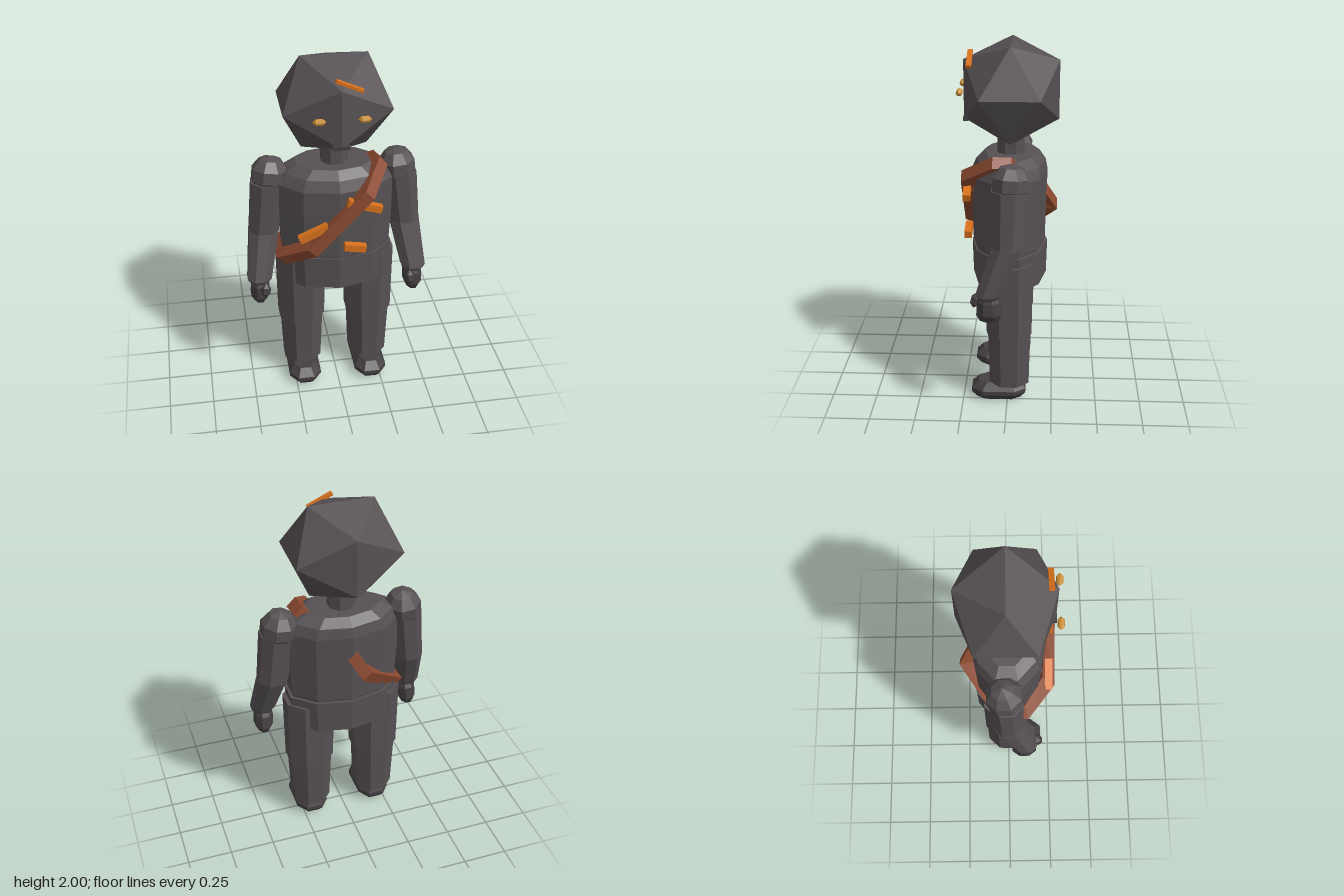
import * as THREE from 'three';

const mat = (color) => new THREE.MeshStandardMaterial({ color, flatShading: true });
const stone = mat(0x565053), dark = mat(0x443f42), leather = mat(0x8c4a30);
const ember = mat(0xd8701c), amber = mat(0xcc9036);

function add(parent, name, geometry, material, pos = [0, 0, 0], rot = [0, 0, 0], scale = [1, 1, 1]) {
  const mesh = new THREE.Mesh(geometry, material);
  mesh.name = name;
  mesh.position.set(...pos);
  mesh.rotation.set(...rot);
  mesh.scale.set(...scale);
  parent.add(mesh);
  return mesh;
}

// Horizontal octagon: half-width a, half-depth b; k and m set the flat of the front and the sides
function ring(x, y, z, a, b, k = 0.414, m = 0.414) {
  return [[1, m], [k, 1], [-k, 1], [-1, m], [-1, -m], [-k, -1], [k, -1], [1, -m]]
    .map(([u, v]) => new THREE.Vector3(x + u * a, y, z + v * b));
}

// Ten-sided oval with a corner at the middle of the front and back
function oval(y, z, a, b) {
  return Array.from({ length: 10 }, (_, i) => {
    const t = (i * Math.PI) / 5;
    return new THREE.Vector3(a * Math.sin(t), y, z + b * Math.cos(t));
  });
}

// Skin a row of cross-sections, capped at the ends or joined into a loop
function loft(rings, loop = false) {
  const tris = [], n = rings[0].length, last = rings.length - (loop ? 0 : 1);
  for (let i = 0; i < last; i++) {
    const p = rings[i], q = rings[(i + 1) % rings.length];
    for (let j = 0; j < n; j++) {
      const k = (j + 1) % n;
      tris.push([p[j], q[j], q[k]], [p[j], q[k], p[k]]);
    }
  }
  if (!loop) {
    const p = rings[0], q = rings[rings.length - 1];
    for (let j = 1; j < n - 1; j++) tris.push([p[0], p[j], p[j + 1]], [q[0], q[j + 1], q[j]]);
  }
  // Turn the faces outward if the enclosed volume comes out negative
  const volume = tris.reduce((s, [a, b, c]) => s + a.dot(b.clone().cross(c)), 0);
  const points = tris.flatMap(([a, b, c]) => (volume < 0 ? [a, c, b] : [a, b, c]));
  const geometry = new THREE.BufferGeometry().setFromPoints(points);
  geometry.computeVertexNormals();
  return geometry;
}

function buildArm(s) {
  const arm = new THREE.Group();
  arm.name = s > 0 ? 'leftArm' : 'rightArm';
  add(arm, 'shoulder', new THREE.SphereGeometry(0.106, 8, 5), stone,
    [s * 0.352, 1.328, -0.022], [-0.1, Math.PI / 8, s * 0.12]);
  add(arm, 'upperArm', loft([
    ring(s * 0.397, 0.99, -0.004, 0.081, 0.078),
    ring(s * 0.362, 1.3, -0.014, 0.092, 0.09),
  ]), stone);
  add(arm, 'forearm', loft([
    ring(s * 0.439, 0.72, 0.096, 0.052, 0.05),
    ring(s * 0.438, 0.742, 0.092, 0.067, 0.065),
    ring(s * 0.397, 1.0, -0.004, 0.082, 0.079),
  ]), stone);
  add(arm, 'hand', loft([
    ring(s * 0.44, 0.592, 0.085, 0.032, 0.05),
    ring(s * 0.44, 0.63, 0.087, 0.05, 0.068),
    ring(s * 0.436, 0.70, 0.092, 0.05, 0.06),
    ring(s * 0.434, 0.74, 0.094, 0.04, 0.04),
  ]), dark);
  add(arm, 'thumb', new THREE.CapsuleGeometry(0.027, 0.035, 1, 6), dark,
    [s * 0.411, 0.693, 0.163], [-0.25, 0, s * 0.1]);
  return arm;
}

function buildLeg(s) {
  const leg = new THREE.Group();
  leg.name = s > 0 ? 'leftLeg' : 'rightLeg';
  const x = s * 0.196;
  add(leg, 'thigh', loft([
    ring(x, 0.415, -0.01, 0.13, 0.124),
    ring(x, 0.835, -0.01, 0.135, 0.13),
  ]), stone);
  add(leg, 'shin', loft([
    ring(x, 0.1, -0.01, 0.106, 0.11),
    ring(x, 0.42, -0.01, 0.119, 0.117),
  ]), stone);
  add(leg, 'foot', loft([
    ring(x, 0, 0.05, 0.064, 0.122, 0.5, 0.6),
    ring(x, 0.038, 0.05, 0.092, 0.152, 0.5, 0.6),
    ring(x, 0.062, 0.05, 0.092, 0.152, 0.5, 0.6),
    ring(x, 0.105, 0.04, 0.06, 0.122, 0.5, 0.6),
  ]), dark);
  return leg;
}

// Thick band looping from the left shoulder to the right hip
function buildStrap() {
  const path = [
    [0.225, 1.38, 0.07], [0.13, 1.28, 0.222], [-0.14, 0.99, 0.222], [-0.285, 0.875, 0.1],
    [-0.3, 0.86, -0.05], [-0.06, 1.08, -0.225], [-0.015, 1.17, -0.17], [0.21, 1.375, -0.02],
  ];
  const across = new THREE.Vector3(-0.69, 0.72, 0).multiplyScalar(0.034);
  const centre = new THREE.Vector3(-0.04, 1.12, 0);
  return loft(path.map((p) => {
    const c = new THREE.Vector3(...p);
    const out = c.clone().sub(centre);
    out.addScaledVector(across, -out.dot(across) / across.lengthSq()).setLength(0.042);
    return [[1, 1], [-1, 1], [-1, -1], [1, -1]]
      .map(([u, v]) => c.clone().addScaledVector(across, u).addScaledVector(out, v));
  }), true);
}

export function createModel() {
  const model = new THREE.Group();
  model.name = 'stoneFigure';

  add(model, 'head', new THREE.IcosahedronGeometry(1, 0), stone, [0, 1.742, -0.013], [0, 0, 0], [0.338, 0.303, 0.302]);
  add(model, 'chin', new THREE.BoxGeometry(0.09, 0.02, 0.03), dark, [0, 1.587, 0.23]);
  add(model, 'neck', new THREE.CylinderGeometry(0.078, 0.078, 0.16, 8), stone, [0, 1.415, -0.01], [0, Math.PI / 8, 0]);

  add(model, 'torso', loft([
    oval(0.83, 0, 0.3, 0.19),
    oval(0.9, 0, 0.315, 0.2),
    oval(1.12, 0, 0.326, 0.206),
    oval(1.3, -0.003, 0.326, 0.208),
    oval(1.36, -0.01, 0.29, 0.19),
    oval(1.4, -0.01, 0.22, 0.14),
  ]), stone);
  add(model, 'pelvis', loft([
    oval(0.69, -0.004, 0.318, 0.205),
    oval(0.885, -0.004, 0.328, 0.21),
  ]), stone);

  for (const s of [1, -1]) {
    model.add(buildArm(s), buildLeg(s));
    add(model, s > 0 ? 'leftEye' : 'rightEye', new THREE.CapsuleGeometry(0.018, 0.036, 1, 8), amber,
      [s * 0.116, 1.75, 0.256], [0, 0, Math.PI / 2]);
  }

  add(model, 'strap', buildStrap(), leather);

  // Glowing cracks: x, y, z, length, height, depth, tilt
  for (const [x, y, z, l, h, d, tilt] of [
    [0.045, 1.913, 0.207, 0.15, 0.016, 0.028, -0.42],
    [0.13, 1.226, 0.22, 0.19, 0.04, 0.04, -0.3],
    [-0.145, 1.08, 0.22, 0.17, 0.04, 0.04, 0.42],
    [0.08, 0.968, 0.22, 0.12, 0.04, 0.04, -0.17],
  ]) add(model, 'crack', new THREE.BoxGeometry(l, h, d), ember, [x, y, z], [0, 0, tilt]);

  return model;
}
